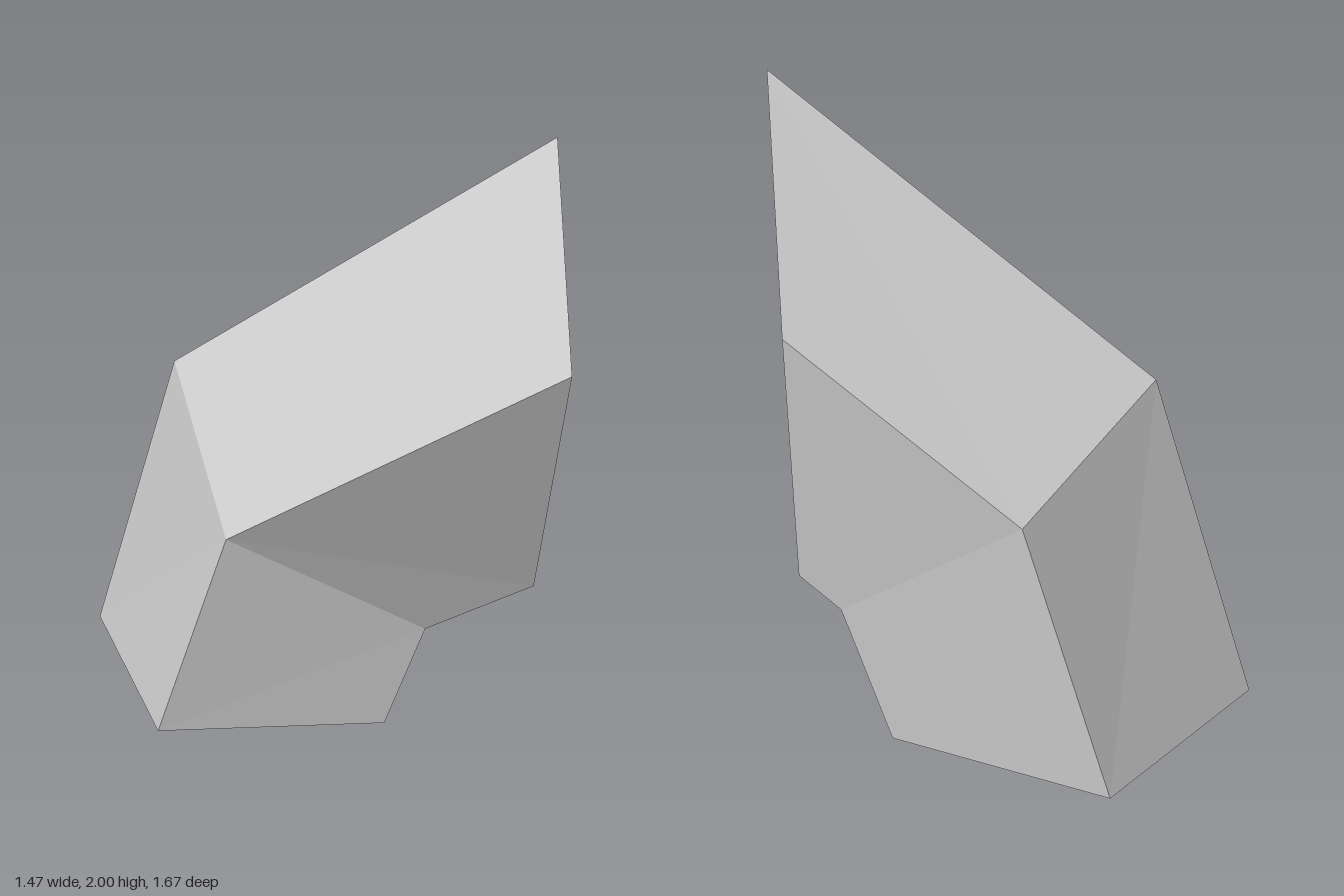
import * as THREE from 'three';

// Five-sided cross-sections, listed corner by corner in the same order
const baseRing = [[-0.735, 0, -0.36], [-0.455, 0, 0.34], [0.295, 0, 0.285], [0.47, 0, -0.445], [-0.165, 0, -0.835]];
const mitreRing = [[-0.41, 1.1, -0.2], [-0.21, 0.785, 0.44], [0.415, 0.4, 0.33], [0.61, 0.47, -0.395], [0.09, 0.905, -0.72]];
const mouthRing = [[0.733, 2, 0.29], [0.733, 1.508, 0.835], [0.733, 0.635, 0.45], [0.733, 0.575, -0.345], [0.733, 1.42, -0.45]];

// Open tube segment between two rings, with separate corners for flat facets
function tubeSegment(lower, upper) {
  const positions = [];
  const n = lower.length;
  for (let i = 0; i < n; i++) {
    const j = (i + 1) % n;
    const [a, b, c, d] = [lower[i], lower[j], upper[j], upper[i]];
    positions.push(...a, ...b, ...c, ...a, ...c, ...d);
  }
  const geometry = new THREE.BufferGeometry();
  geometry.setAttribute('position', new THREE.Float32BufferAttribute(positions, 3));
  geometry.computeVertexNormals();
  return geometry;
}

export function createModel() {
  const grey = new THREE.MeshStandardMaterial({ color: 0xcccccc, flatShading: true, side: THREE.DoubleSide });
  grey.name = 'light grey';

  const model = new THREE.Group();
  model.name = 'bentPipe';
  const addPart = (name, lower, upper) => {
    const mesh = new THREE.Mesh(tubeSegment(lower, upper), grey);
    mesh.name = name;
    model.add(mesh);
  };

  // Upright leg, then the arm angled towards the open mouth
  addPart('uprightSegment', baseRing, mitreRing);
  addPart('angledSegment', mitreRing, mouthRing);
  return model;
}
